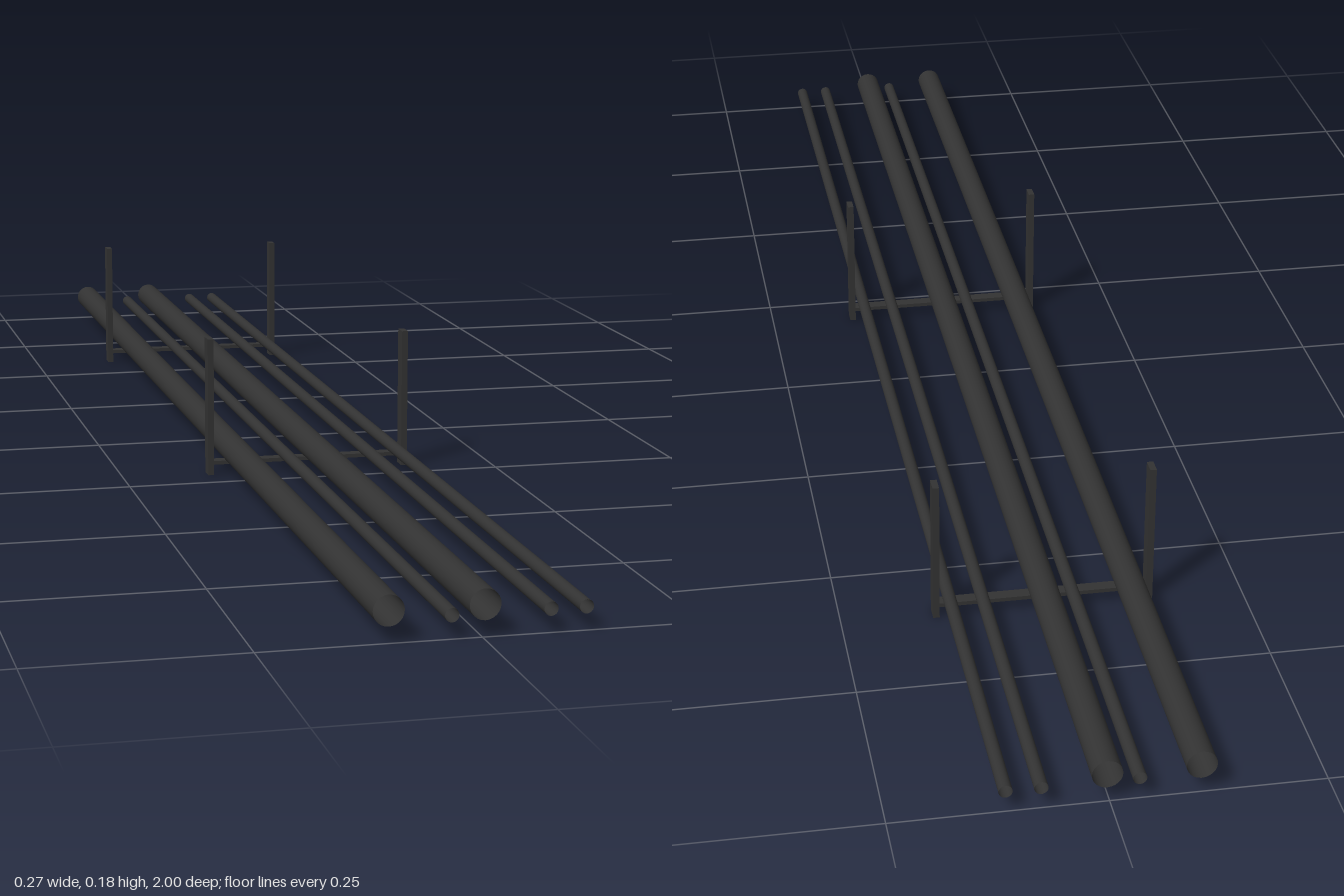
import * as THREE from 'three';

export function createModel() {
  const model = new THREE.Group();
  const dark = new THREE.MeshStandardMaterial({ color: 0x333333 });
  const darkOpen = new THREE.MeshStandardMaterial({ color: 0x333333, side: THREE.DoubleSide });

  const barTop = 0.0185;

  // Open-ended pipes resting on the crossbars
  const addPipe = (name, x, radius) => {
    const geometry = new THREE.CylinderGeometry(radius, radius, 2, 24, 1, true);
    geometry.rotateX(Math.PI / 2);
    const pipe = new THREE.Mesh(geometry, darkOpen);
    pipe.name = name;
    pipe.position.set(x, barTop + radius, 0);
    model.add(pipe);
  };
  for (const x of [-0.104, 0.003]) addPipe('largePipe', x, 0.0177);
  for (const x of [-0.034, 0.077, 0.117]) addPipe('smallPipe', x, 0.008);

  const addBox = (parent, name, size, position) => {
    const box = new THREE.Mesh(new THREE.BoxGeometry(...size), dark);
    box.name = name;
    box.position.set(...position);
    parent.add(box);
  };

  // Trapeze hangers: two flat posts joined by a low crossbar
  for (const z of [0.2, -0.6]) {
    const hanger = new THREE.Group();
    hanger.name = 'hanger';
    hanger.position.z = z;
    for (const side of [-1, 1]) {
      addBox(hanger, 'hangerPost', [0.008, 0.184, 0.02], [side * 0.133, 0.092, 0]);
    }
    addBox(hanger, 'crossbar', [0.266, 0.005, 0.016], [0, barTop - 0.0025, 0]);
    model.add(hanger);
  }

  return model;
}
